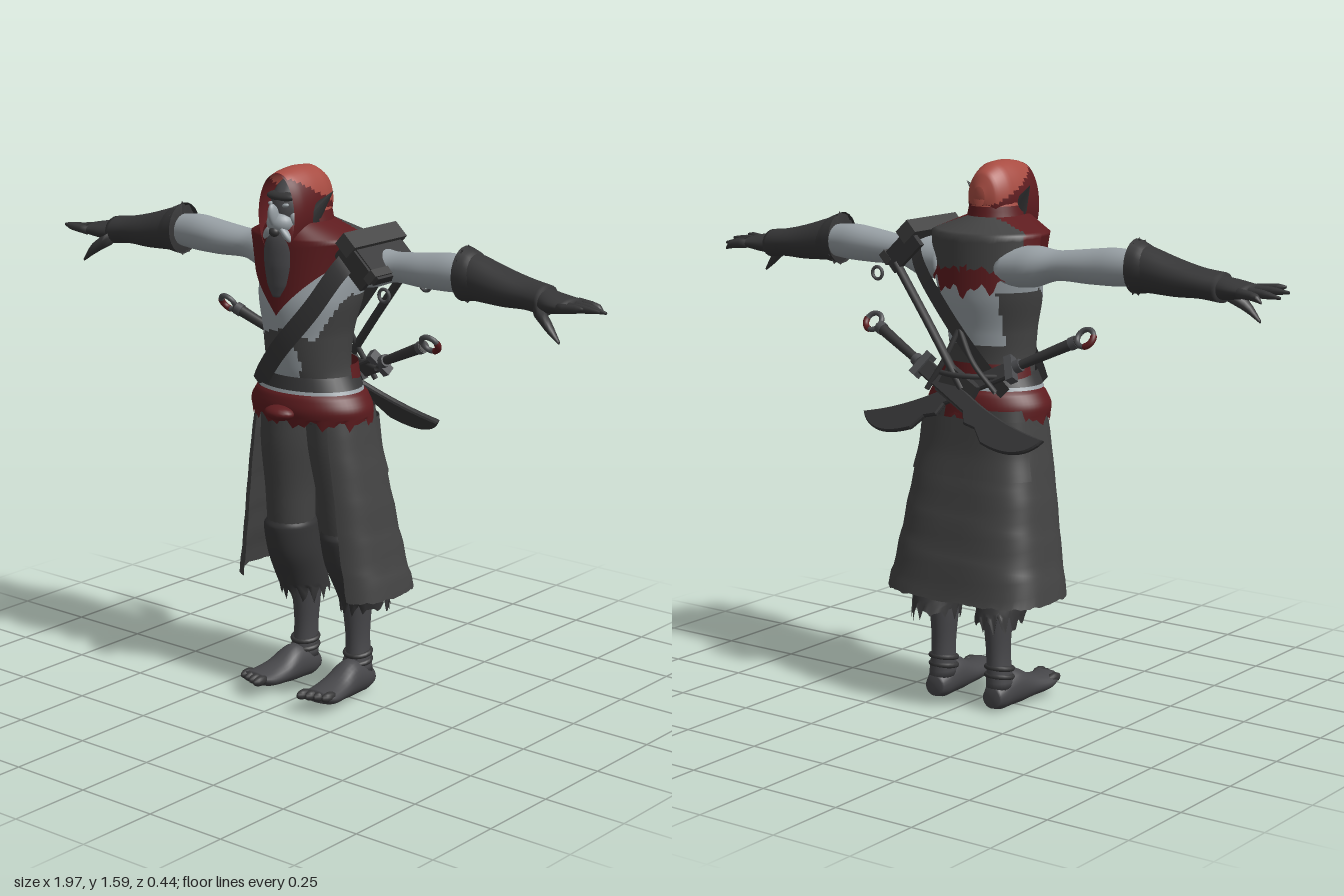
import * as THREE from 'three';
import { mergeVertices } from 'three/addons/utils/BufferGeometryUtils.js';

const mat = (name, color) => Object.assign(new THREE.MeshStandardMaterial({ color, side: THREE.DoubleSide }), { name });
const M = {
  cloth: mat('dark cloth', 0x434343),
  leather: mat('dark leather', 0x363637),
  skin: mat('pale skin', 0x98a0a5),
  grey: mat('grey skin', 0x47474a),
  red: mat('dark red cloth', 0x5e1c1f),
  hood: mat('light red cloth', 0xa84c42),
  steel: mat('steel', 0x4c4d50),
};
const V = (x, y, z) => new THREE.Vector3(x, y, z);
const rag = u => 0.013 * Math.sin(u * 83) + 0.012 * Math.sin(u * 157 + 1);

function add(parent, name, geo, material, p = [0, 0, 0], r = [0, 0, 0], s = [1, 1, 1]) {
  const m = new THREE.Mesh(geo, material);
  m.name = name;
  m.position.set(...p); m.rotation.set(...r); m.scale.set(...s);
  parent.add(m);
  return m;
}

// Surface from fn(u, v) -> [x, y, z]; pick(x, y, z) chooses one of several materials.
function grid(parent, name, nu, nv, fn, mats, pick = () => 0) {
  const pos = [], groups = [].concat(mats).map(() => []);
  for (let j = 0; j <= nv; j++) for (let i = 0; i <= nu; i++) pos.push(...fn(i / nu, j / nv));
  const at = i => V().fromArray(pos, i * 3);
  let volume = 0;
  for (let j = 0; j < nv; j++) for (let i = 0; i < nu; i++) {
    const a = j * (nu + 1) + i, b = a + 1, c = a + nu + 1, d = c + 1;
    const mid = at(a).add(at(d)).multiplyScalar(0.5);
    groups[pick(mid.x, mid.y, mid.z)].push(a, b, d, a, d, c);
    volume += at(a).dot(at(b).cross(at(d))) + at(a).dot(at(d).cross(at(c)));
  }
  if (volume < 0) groups.forEach(g => g.reverse());
  let geo = new THREE.BufferGeometry();
  geo.setAttribute('position', new THREE.Float32BufferAttribute(pos, 3));
  geo.setIndex(groups.flat());
  geo = mergeVertices(geo, 1e-5);
  let start = 0;
  groups.forEach((g, k) => { geo.addGroup(start, g.length, k); start += g.length; });
  geo.computeVertexNormals();
  return add(parent, name, geo, mats);
}

// Loft through rings [cx, cy, cz, ra, rb] across an axis. Angle 90 degrees faces +z on axis y.
function loft(parent, name, rings, mats, o = {}) {
  const { axis = 'y', n = 24, steps = 5, from = 0, to = 360, pow = 1, cap = true, pick, hem } = o;
  const c = new THREE.CatmullRomCurve3(rings.map(r => V(r[0], r[1], r[2])), false, 'centripetal');
  const q = new THREE.CatmullRomCurve3(rings.map(r => V(r[3], r[4], 0)), false, 'centripetal');
  const nv = (rings.length - 1) * steps, extra = cap ? 1 : 0, total = nv + 2 * extra;
  const f = (u, v) => {
    const k = Math.round(v * total) - extra, t = Math.min(Math.max(k / nv, 0), 1);
    const p = c.getPoint(t), r = q.getPoint(t), end = k < 0 || k > nv ? 0 : 1;
    const th = (u === 1 && to - from === 360 ? from : from + (to - from) * u) * Math.PI / 180;
    const e = x => Math.sign(x) * Math.abs(x) ** pow * end;
    const a = r.x * e(Math.cos(th)), b = r.y * e(Math.sin(th));
    const out = axis === 'y' ? [p.x + a, p.y, p.z + b] : axis === 'x' ? [p.x, p.y + a, p.z + b] : [p.x + a, p.y + b, p.z];
    if (hem) out[1] += hem(u, t);
    return out;
  };
  return grid(parent, name, n, total, f, mats, pick);
}

const tube = (parent, name, pts, r, material) =>
  add(parent, name, new THREE.TubeGeometry(new THREE.CatmullRomCurve3(pts.map(p => V(...p))), 20, r, 8), material);

function mirrored(root, name, build) {
  for (const s of [1, -1]) {
    const g = new THREE.Group();
    g.name = (s > 0 ? 'left' : 'right') + name;
    g.scale.x = s;
    build(g);
    root.add(g);
  }
}

function buildArm(g) {
  loft(g, 'arm', [[.1, 1.31, -.015, .06, .075], [.19, 1.315, -.015, .06, .07], [.28, 1.325, -.015, .043, .05],
    [.38, 1.33, -.01, .05, .055], [.46, 1.335, -.01, .054, .054], [.56, 1.335, -.01, .045, .045]], M.skin, { axis: 'x' });
  loft(g, 'gauntlet', [[.53, 1.34, 0, .07, .062], [.57, 1.335, 0, .064, .064], [.66, 1.32, 0, .052, .062],
    [.74, 1.312, 0, .042, .055], [.8, 1.305, .005, .042, .05]], M.leather, { axis: 'x', hem: (u, t) => t < .05 ? rag(u) * .6 : 0 });
  loft(g, 'cuff', [[.522, 1.342, 0, .077, .068], [.55, 1.338, 0, .07, .067], [.575, 1.333, 0, .06, .064]], M.leather, { axis: 'x', cap: false });
  loft(g, 'palm', [[.78, 1.305, .005, .034, .042], [.83, 1.303, .01, .028, .055], [.885, 1.302, .01, .018, .058]], M.leather, { axis: 'x' });
  [[-.04, .945], [-.005, .98], [.03, .985], [.06, .955]].forEach(([z, x], i) =>
    loft(g, 'finger' + i, [[.87, 1.302, z, .014, .014], [.93, 1.3 + z * .15, z * 1.1, .012, .011], [x, 1.295 + z * .3, z * 1.15, .004, .004]],
      M.leather, { axis: 'x', n: 8, steps: 3 }));
  loft(g, 'thumb', [[.79, 1.285, .04, .022, .02], [.84, 1.252, .06, .019, .016], [.88, 1.212, .065, .005, .005]], M.leather, { axis: 'x', n: 8, steps: 3 });
}

function buildLeg(g) {
  loft(g, 'trouserLeg', [[.08, .92, .02, .085, .1], [.09, .78, .02, .083, .095], [.1, .62, .01, .07, .08], [.105, .5, 0, .068, .075]], M.cloth);
  loft(g, 'kneeWrap', [[.105, .525, 0, .068, .077], [.108, .505, 0, .077, .084], [.11, .42, -.02, .077, .086], [.115, .34, -.055, .074, .084],
    [.115, .28, -.08, .068, .08]], M.leather, { cap: false, n: 40, hem: (u, t) => t > .9 ? rag(u) * 1.5 : 0 });
  loft(g, 'shin', [[.1, .38, -.05, .05, .055], [.098, .28, -.06, .042, .048], [.1, .17, -.062, .034, .04], [.105, .07, -.06, .04, .045]], M.grey);
  for (const y of [.13, .105]) add(g, 'ankleWrap', new THREE.TorusGeometry(.038, .008, 8, 20), M.leather, [.102, y, -.06], [Math.PI / 2 + .15, 0, 0]);
  loft(g, 'foot', [[.105, .045, -.105, .03, .03], [.105, .055, -.07, .042, .05], [.108, .062, -.01, .045, .056],
    [.112, .05, .06, .052, .036], [.118, .047, .12, .054, .026], [.12, .055, .16, .046, .018]], M.grey, { axis: 'z' });
  for (let i = 0; i < 4; i++) add(g, 'toe', new THREE.SphereGeometry(1, 10, 8), M.leather, [.084 + i * .024, .057, .17 - i * .009], [0, 0, 0], [.014, .015, .03]);
}

// Ring-pommelled curved sword, laid along local +x and rolled so its edge leans back
function buildSword(name, from, to) {
  const g = new THREE.Group();
  g.name = name;
  add(g, 'pommelRing', new THREE.TorusGeometry(.027, .008, 8, 24), M.steel);
  add(g, 'ringWrap', new THREE.TorusGeometry(.027, .0095, 8, 12, 1.7), M.red, [0, 0, 0], [0, 0, 3.3]);
  add(g, 'grip', new THREE.CylinderGeometry(.017, .013, .2, 12), M.leather, [.128, 0, 0], [0, 0, Math.PI / 2]);
  for (const x of [.04, .225]) add(g, 'gripCollar', new THREE.CylinderGeometry(.019, .019, .02, 12), M.steel, [x, 0, 0], [0, 0, Math.PI / 2]);
  add(g, 'guard', new THREE.BoxGeometry(.025, .08, .03), M.steel, [.25, 0, 0]);
  const s = new THREE.Shape();
  s.moveTo(.25, .022); s.lineTo(.45, .02); s.quadraticCurveTo(.62, .015, .755, .06);
  s.quadraticCurveTo(.74, -.035, .6, -.055); s.lineTo(.55, -.035); s.lineTo(.51, -.045); s.lineTo(.48, -.022); s.lineTo(.25, -.022);
  add(g, 'blade', new THREE.ExtrudeGeometry(s, { depth: .008, bevelSize: .004, bevelThickness: .005, bevelSegments: 1 }), M.leather, [0, 0, -.004]);
  g.position.copy(from);
  g.quaternion.setFromUnitVectors(V(1, 0, 0), to.clone().sub(from).normalize());
  g.rotateX(.6);
  return g;
}

function buildHead(root) {
  const g = new THREE.Group();
  g.name = 'head';
  root.add(g);
  const ball = new THREE.SphereGeometry(1, 24, 16);
  add(g, 'face', ball, M.grey, [0, 1.48, .1], [0, 0, 0], [.062, .094, .086]);
  add(g, 'brow', ball, M.leather, [0, 1.52, .162], [.3, 0, 0], [.052, .014, .022]);
  add(g, 'muzzle', ball, M.skin, [0, 1.445, .165], [0, 0, 0], [.042, .034, .04]);
  add(g, 'nose', ball, M.skin, [0, 1.468, .197], [.3, 0, 0], [.012, .036, .02]);
  add(g, 'mouth', ball, M.leather, [0, 1.422, .195], [0, 0, 0], [.016, .014, .014]);
  loft(g, 'beard', [[0, 1.44, .11, .06, .055], [0, 1.4, .128, .073, .066], [0, 1.33, .148, .062, .056], [0, 1.27, .162, .045, .038], [0, 1.235, .172, .02, .022]], M.grey);
  mirrored(g, 'FaceSide', h => {
    add(h, 'eye', ball, M.skin, [.026, 1.497, .176], [0, 0, .2], [.011, .006, .008]);
    add(h, 'moustache', ball, M.skin, [.032, 1.415, .18], [0, .4, -.9], [.03, .011, .016]);
    add(h, 'cheek', ball, M.skin, [.04, 1.458, .152], [0, .4, .4], [.016, .024, .016]);
    add(h, 'ear', new THREE.ConeGeometry(.04, .11, 12), M.leather, [.08, 1.492, .085], [-.3, 0, -.65], [.7, 1, .9]);
  });
  // Hood: an arched tunnel from the nape to the rim around the face
  loft(g, 'hood', [[0, 1.5, -.022, .02, .03], [0, 1.495, -.005, .05, .075], [0, 1.49, .04, .07, .105], [0, 1.485, .1, .075, .114],
    [0, 1.475, .15, .074, .118], [0, 1.465, .185, .066, .119]], [M.red, M.hood],
  { axis: 'z', from: -60, to: 240, n: 48, cap: false, pick: (x, y, z) => z < .175 && y > 1.475 + (z + .02) * .5 ? 1 : 0 });
  loft(g, 'nape', [[0, 1.38, .06, .12, .13], [0, 1.43, .065, .085, .095], [0, 1.5, .07, .068, .088], [0, 1.54, .08, .05, .07]],
    [M.red, M.hood], { from: 165, to: 375, cap: false, pick: (x, y) => y > 1.475 ? 1 : 0 });
  add(g, 'napeCap', ball, M.hood, [0, 1.505, .035], [0, 0, 0], [.055, .075, .056]);
}

export function createModel() {
  const root = new THREE.Group();
  root.name = 'hoodedSwordsman';

  loft(root, 'torso', [[0, .86, .02, .15, .11], [0, .95, .03, .145, .11], [0, 1.02, .045, .13, .112], [0, 1.12, .045, .137, .122], [0, 1.22, .035, .16, .135],
    [0, 1.3, .02, .17, .125], [0, 1.36, .015, .135, .1], [0, 1.42, .04, .06, .065]], [M.skin, M.cloth], {
    n: 80, steps: 10, pick: (x, y, z) => {
      const a = Math.abs(x);
      if (y < .97) return 1;
      if (z < .04) return y > 1.24 || (y > 1.08 && a < .1 && z < -.02) ? 0 : 1;
      const belly = (x / .055) ** 2 + ((y - 1.035) / .075) ** 2 < 1;
      return belly || (a < .075 + .5 * (y - 1.07) && y > 1.14 - .3 * a) ? 0 : 1;
    },
  });
  mirrored(root, 'Arm', buildArm);
  mirrored(root, 'Leg', buildLeg);
  buildHead(root);

  // Cowl over the shoulders, pointed at the chest and ragged behind
  const cowl = (u, v) => {
    const t = u * Math.PI * 2, c = Math.cos(t), s = Math.sin(t), k = Math.min(v * 2, 1);
    const hem = s > 0 ? 1.18 + .16 * Math.abs(c) ** .9 : 1.34 - .1 * -s + rag(u);
    const y = v < .5 ? 1.445 - .045 * k : 1.4 + (hem - 1.4) * (v * 2 - 1);
    const narrow = s > 0 && v > .5 ? 1 - .1 * (v * 2 - 1) : 1;
    return [c * (.08 + .1 * k) * narrow, y, .075 - .038 * k + s * (.1 + .052 * k)];
  };
  grid(root, 'cowl', 96, 16, cowl, [M.red, M.cloth], (x, y, z) => z < -.01 && y > 1.305 && Math.abs(x) < .16 ? 1 : 0);

  // Sash, belt and knot
  loft(root, 'sash', [[0, .96, .03, .152, .118], [0, .94, .03, .178, .135], [0, .9, .03, .198, .142], [0, .865, .025, .195, .14]], M.red,
    { cap: false, n: 64, hem: (u, t) => t > .9 ? rag(u) * .8 : 0 });
  loft(root, 'beltLine', [[0, .952, .035, .168, .13], [0, .963, .035, .162, .127]], M.skin, { cap: false, steps: 1, n: 40 });
  loft(root, 'belt', [[0, .962, .035, .164, .128], [0, 1, .035, .145, .12]], M.leather, { cap: false, n: 40 });
  loft(root, 'backSash', [[0, .985, .03, .15, .124], [0, 1.03, .03, .142, .12]], M.red, { cap: false, from: 180, to: 360 });
  add(root, 'sashKnot', new THREE.SphereGeometry(1, 16, 12), M.red, [0, .895, .175], [0, 0, 0], [.05, .022, .036]);

  // Long coat skirt, open in front
  loft(root, 'coatSkirt', [[0, .9, .015, .175, .122], [0, .8, .015, .19, .128], [0, .65, 0, .217, .142], [0, .5, -.015, .24, .156], [0, .345, -.033, .27, .17]],
    M.cloth, { from: 128, to: 412, pow: .65, n: 80, cap: false, hem: (u, t) => t > .97 ? rag(u) * .15 : .012 * Math.sin(t * 34 + u * 9) * t });
  loft(root, 'skirtOverlap', [[0, .87, .013, .187, .128], [0, .77, .013, .198, .136], [0, .7, .008, .214, .144]], M.cloth,
    { from: 195, to: 345, pow: .65, n: 40, cap: false });

  // Baldric across chest and back
  const strap = (name, pts, w) => {
    const c = new THREE.CatmullRomCurve3(pts.map(p => V(...p)));
    grid(root, name, 4, 40, (u, v) => {
      const p = c.getPoint(v), k = (u - .5) * w;
      return [p.x + k * .72, p.y - k * .7, p.z];
    }, M.leather);
  };
  strap('chestStrap', [[.205, 1.385, .06], [.175, 1.32, .125], [.11, 1.21, .165], [0, 1.08, .18], [-.07, 1, .16], [-.12, .95, .125]], .06);
  strap('backStrap', [[.2, 1.38, -.06], [.16, 1.31, -.1], [.06, 1.17, -.104], [-.05, 1.03, -.085], [-.13, .95, -.075]], .045);

  // Left shoulder guard with buckles
  const pad = new THREE.Group();
  pad.name = 'shoulderGuard';
  pad.position.set(.23, 1.355, 0);
  pad.rotation.z = -.75;
  add(pad, 'plate', new THREE.BoxGeometry(.16, .028, .2), M.leather);
  for (const z of [-.1, .1]) add(pad, 'flap', new THREE.BoxGeometry(.13, .065, .018), M.leather, [0, -.022, z]);
  add(pad, 'upperBand', new THREE.BoxGeometry(.055, .045, .235), M.cloth, [-.055, .004, 0]);
  add(pad, 'lowerBand', new THREE.BoxGeometry(.025, .038, .22), M.cloth, [.06, 0, 0]);
  root.add(pad);
  for (const z of [-.1, .09]) add(root, 'strapRing', new THREE.TorusGeometry(.018, .005, 8, 20), M.steel, [.31, 1.265, z]);

  // Crossed swords and their carrying harness
  root.add(buildSword('rightHiltSword', V(-.375, 1.13, -.03), V(.3, .81, -.18)));
  const other = new THREE.Group();
  other.name = 'leftHiltSwordMirror';
  other.scale.x = -1;
  other.add(buildSword('leftHiltSword', V(-.365, 1.11, -.05), V(.31, .81, -.215)));
  root.add(other);
  [[[.24, 1.3, -.1], [.1, 1.12, -.115], [-.02, .96, -.13]], [[.02, 1.13, -.09], [.05, 1.04, -.12], [.1, .95, -.14]],
    [[.02, 1.13, -.09], [-.05, 1.04, -.12], [-.13, .96, -.12]], [[-.15, 1, -.08], [0, 1, -.14], [.15, 1, -.08]]]
    .forEach((p, i) => tube(root, 'harnessCord' + i, p, i ? .008 : .013, M.leather));
  add(root, 'harnessPlate', new THREE.BoxGeometry(.12, .09, .025), M.leather, [0, .96, -.125], [.1, 0, .5]);
  return root;
}
